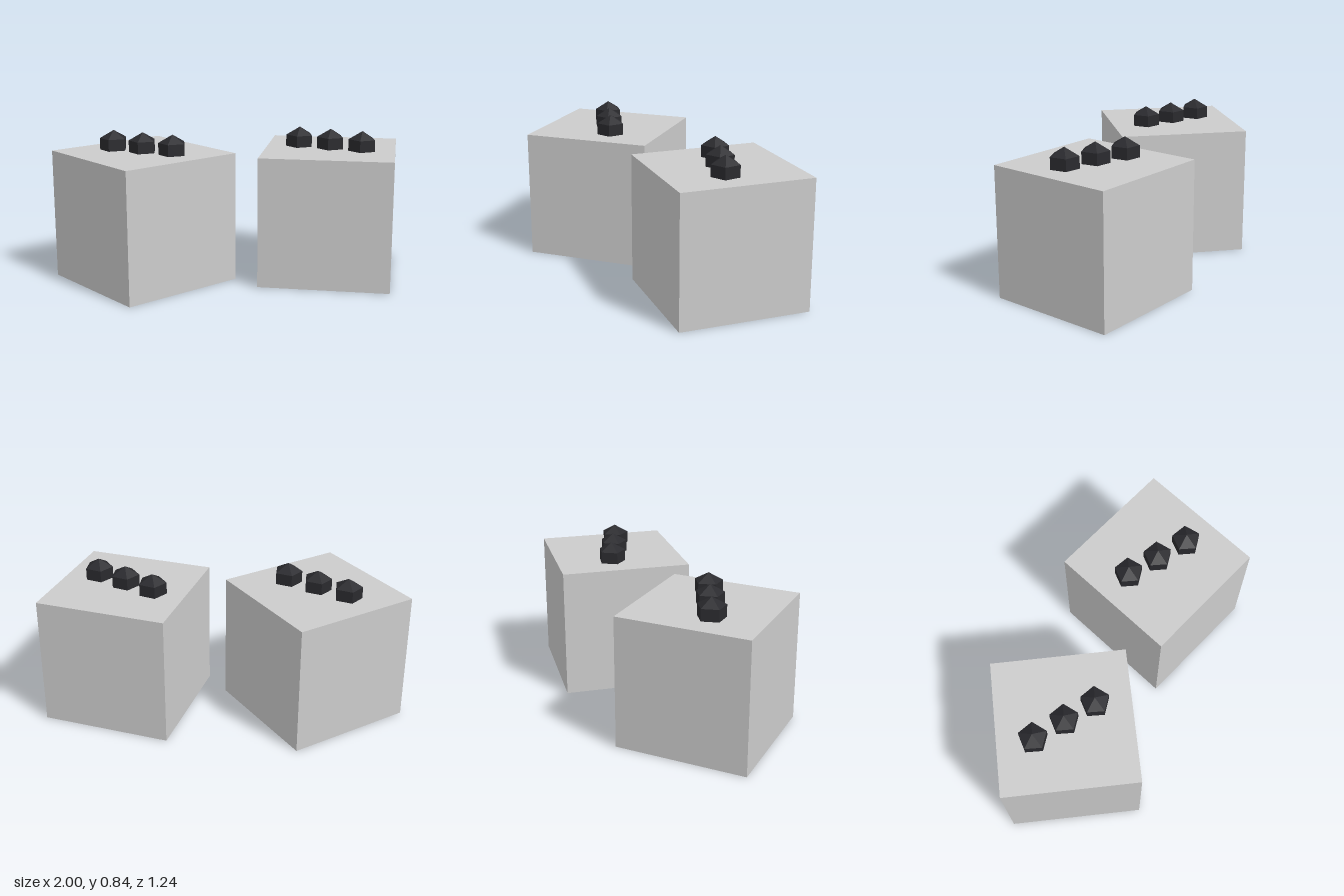
import * as THREE from 'three';

const SIDE = 0.732;      // cube edge
const PIP_STEP = 0.1325; // spacing of the diagonal row

export function createModel() {
  const group = new THREE.Group();
  const cubeMaterial = new THREE.MeshStandardMaterial({ color: 0xcccccc, flatShading: true });
  const pipMaterial = new THREE.MeshStandardMaterial({ color: 0x2a2a2e, flatShading: true });

  const cubeGeometry = new THREE.BoxGeometry(SIDE, SIDE, SIDE);
  // Five-sided low-poly ball with one corner pointing to the back
  const pipGeometry = new THREE.SphereGeometry(0.091, 5, 3).rotateY(-Math.PI / 2);

  function addDie(name, x, z, degrees) {
    const die = new THREE.Group();
    die.name = name;
    die.position.set(x, 0, z);

    const cube = new THREE.Mesh(cubeGeometry, cubeMaterial);
    cube.name = 'cube';
    cube.position.y = SIDE / 2;
    cube.rotation.y = THREE.MathUtils.degToRad(degrees);
    die.add(cube);

    // Diagonal row of three pips, half sunk into the top; not turned with the cube
    for (let i = -1; i <= 1; i++) {
      const pip = new THREE.Mesh(pipGeometry, pipMaterial);
      pip.name = 'pip';
      pip.position.set(i * PIP_STEP, 0.752, i * PIP_STEP);
      die.add(pip);
    }
    group.add(die);
  }

  addDie('rightDie', -0.532, -0.15, 20);
  addDie('leftDie', 0.498, 0.116, -30);
  return group;
}
